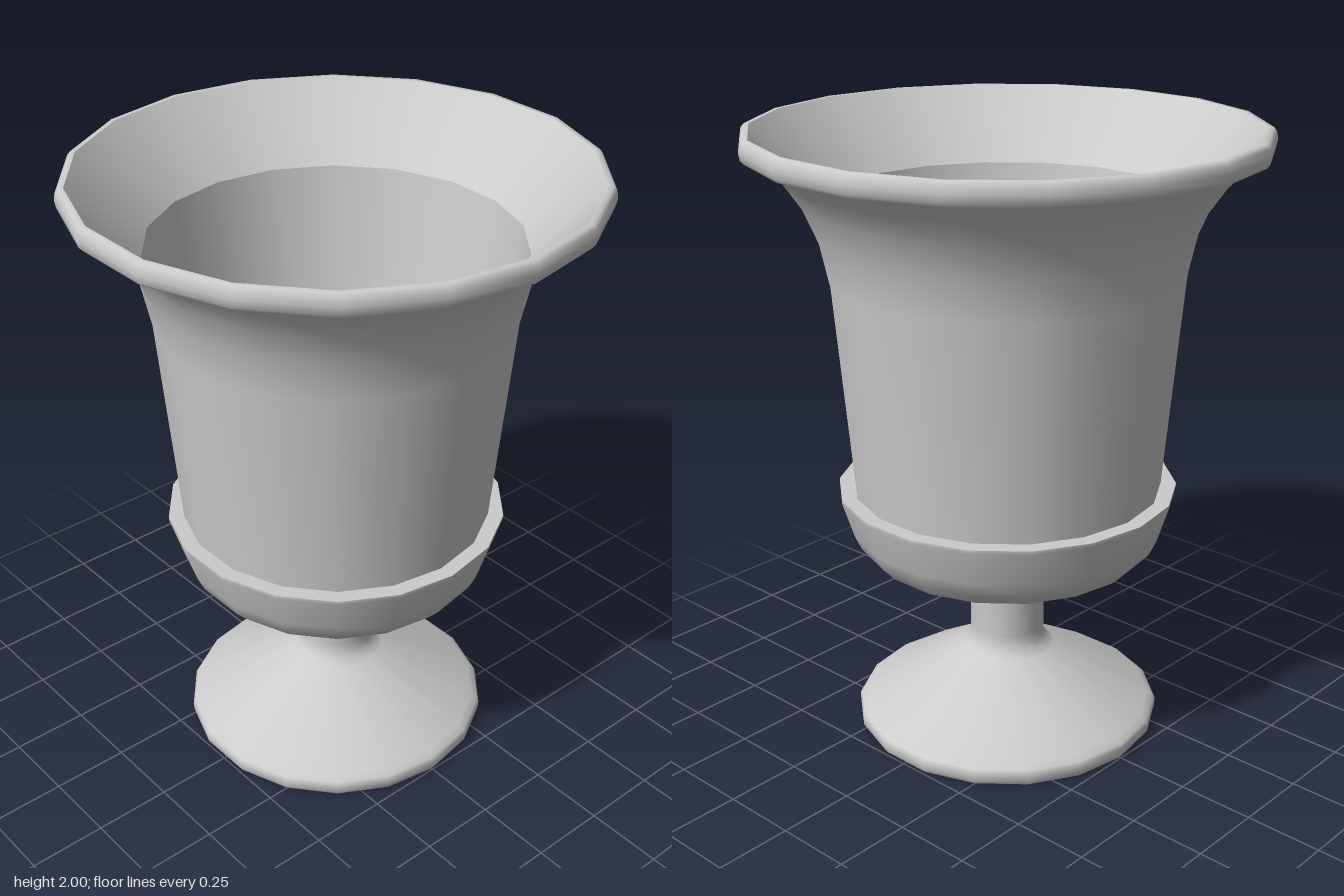
import * as THREE from 'three';

const SIDES = 18;

export function createModel() {
  const urn = new THREE.Group();
  urn.name = 'urn';
  const material = new THREE.MeshStandardMaterial({ color: 0xcccccc });

  // Turns a [radius, height] profile; separate profiles keep the edge between them sharp
  function turn(name, profiles) {
    const part = new THREE.Group();
    part.name = name;
    for (const profile of profiles) {
      const points = profile.map(([r, y]) => new THREE.Vector2(r, y));
      const mesh = new THREE.Mesh(new THREE.LatheGeometry(points, SIDES, Math.PI / 2), material);
      mesh.name = name + 'Surface';
      part.add(mesh);
    }
    urn.add(part);
  }

  // Flat underside, rounded edge and conical slope
  turn('foot', [
    [[0, 0], [0.495, 0]],
    [[0.495, 0], [0.505, 0.015], [0.507, 0.04], [0.5, 0.053], [0.48, 0.067], [0.155, 0.258]],
  ]);

  // Narrow stem, flaring at both ends
  turn('stem', [
    [[0.155, 0.258], [0.135, 0.273], [0.123, 0.3], [0.122, 0.33], [0.122, 0.48], [0.13, 0.51], [0.155, 0.535], [0.2, 0.552]],
  ]);

  // Shallow cup with a flat ledge around the body
  turn('cup', [
    [[0.2, 0.552], [0.26, 0.567], [0.4, 0.597], [0.45, 0.617], [0.49, 0.66], [0.513, 0.71], [0.55, 0.828], [0.55, 0.84]],
    [[0.55, 0.84], [0.5, 0.84]],
  ]);

  // Tapered wall curving out to the rim
  turn('body', [
    [[0.5, 0.84], [0.56, 1.54], [0.59, 1.68], [0.635, 1.785], [0.69, 1.865], [0.755, 1.93]],
  ]);

  // Rolled rim
  turn('rim', [
    [[0.755, 1.93], [0.8, 1.93]],
    [[0.8, 1.93], [0.81, 1.942], [0.814, 1.965], [0.81, 1.988], [0.8, 2], [0.785, 2]],
  ]);

  // Sloping mouth, inner wall and floor
  turn('interior', [
    [[0.785, 2], [0.58, 1.77]],
    [[0.58, 1.77], [0.43, 0.8]],
    [[0.43, 0.8], [0, 0.8]],
  ]);

  return urn;
}
